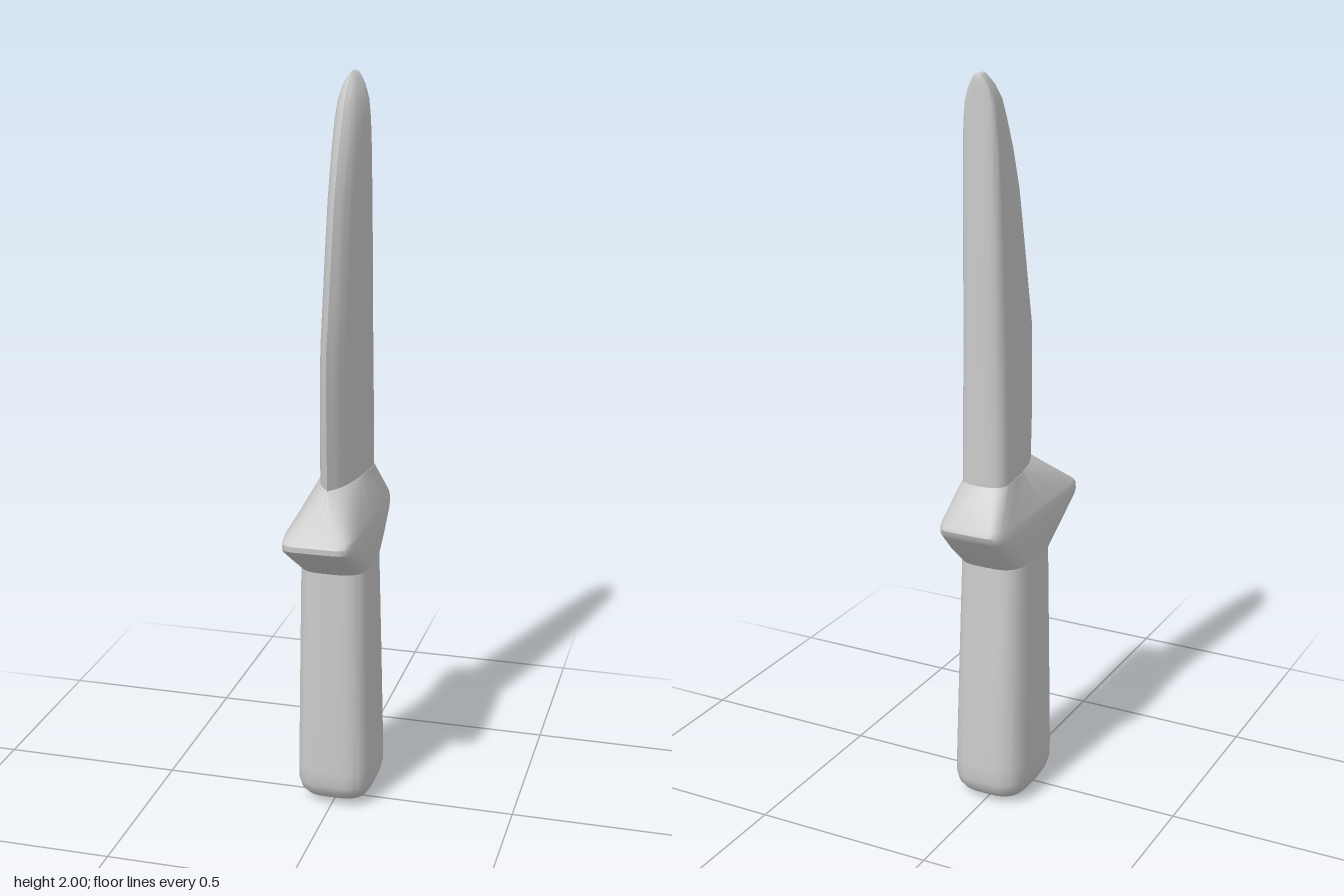
import * as THREE from 'three';
import { toCreasedNormals } from 'three/addons/utils/BufferGeometryUtils.js';

const N = 48; // points around each cross-section

// Rounded-rectangle outline: u runs -1 (back) to 1 (front), w is the side, -1 to 1
const rounded = (power) => (t) => {
  const p = (v) => Math.sign(v) * Math.pow(Math.abs(v), 2 / power);
  return [p(-Math.cos(t)), p(Math.sin(t))];
};

// Blade outline: round thick spine tapering to a sharp front edge
const TEARDROP = [[0, 0], [0.01, 0.42], [0.035, 0.72], [0.08, 0.94], [0.14, 1], [0.3, 0.95], [0.55, 0.79], [0.77, 0.58], [0.9, 0.33], [1, 0]];
function teardrop(t) {
  const f = (1 - Math.cos(t)) / 2;
  let i = 1;
  while (i < TEARDROP.length - 1 && TEARDROP[i][0] < f) i++;
  const [a, b] = [TEARDROP[i - 1], TEARDROP[i]];
  const w = THREE.MathUtils.lerp(a[1], b[1], (f - a[0]) / (b[0] - a[0]));
  return [2 * f - 1, Math.max(0, w) * Math.sign(Math.sin(t))];
}

// Skin a stack of sections, each [y, back z, front z, half width, outline]
function loft(name, rows, crease, material) {
  const pos = [], index = [];
  for (const [y, back, front, half, outline] of rows) {
    for (let i = 0; i < N; i++) {
      const [u, w] = outline((i / N) * Math.PI * 2);
      pos.push(w * half, y, (back + front) / 2 + (u * (front - back)) / 2);
    }
  }
  for (let r = 0; r < rows.length - 1; r++) {
    for (let i = 0; i < N; i++) {
      const a = r * N + i, b = r * N + ((i + 1) % N);
      index.push(a, a + N, b, b, a + N, b + N);
    }
  }
  // End caps
  const top = (rows.length - 1) * N;
  const addCentre = ([y, back, front]) => pos.push(0, y, (back + front) / 2) / 3 - 1;
  const c0 = addCentre(rows[0]), c1 = addCentre(rows[rows.length - 1]);
  for (let i = 0; i < N; i++) {
    const j = (i + 1) % N;
    index.push(c0, i, j, c1, top + j, top + i);
  }
  const geometry = new THREE.BufferGeometry();
  geometry.setAttribute('position', new THREE.Float32BufferAttribute(pos, 3));
  geometry.setIndex(index);
  const mesh = new THREE.Mesh(toCreasedNormals(geometry, crease), material);
  mesh.name = name;
  return mesh;
}

export function createModel() {
  const group = new THREE.Group();
  group.name = 'knife';
  const material = new THREE.MeshStandardMaterial({ color: 0xcccccc });
  const grip = rounded(3.4), block = rounded(7);

  // Handle with a rounded butt
  const handle = [
    [0, -0.09, 0.0, 0.05], [0.007, -0.125, 0.04, 0.073], [0.02, -0.155, 0.07, 0.09],
    [0.04, -0.172, 0.09, 0.101], [0.065, -0.179, 0.1, 0.107], [0.11, -0.179, 0.101, 0.107],
    [0.4, -0.165, 0.098, 0.102], [0.71, -0.15, 0.095, 0.096],
  ].map((r) => [...r, grip]);

  // Guard flaring to a front and a back point
  const guard = [
    [0.7, -0.15, 0.095, 0.096, grip], [0.75, -0.197, 0.165, 0.099, rounded(5)],
    [0.805, -0.24, 0.243, 0.1, block], [0.815, -0.249, 0.252, 0.099, block],
    [0.83, -0.254, 0.253, 0.097, block], [0.842, -0.249, 0.239, 0.095, block],
    [0.94, -0.181, 0.112, 0.066, teardrop],
  ];

  // Blade with a straight spine and a curved edge
  const blade = [
    [0.93, -0.18, 0.11, 0.065], [1.05, -0.18, 0.117, 0.064], [1.18, -0.18, 0.12, 0.062],
    [1.31, -0.18, 0.12, 0.06], [1.42, -0.18, 0.097, 0.058], [1.55, -0.18, 0.07, 0.056],
    [1.69, -0.18, 0.04, 0.053], [1.8, -0.18, 0.002, 0.05], [1.88, -0.18, -0.035, 0.046],
    [1.93, -0.18, -0.06, 0.04], [1.965, -0.18, -0.09, 0.029], [1.985, -0.18, -0.115, 0.018],
    [1.996, -0.179, -0.13, 0.01], [2, -0.178, -0.14, 0.004],
  ].map((r) => [...r, teardrop]);

  group.add(
    loft('handle', handle, 0.8, material),
    loft('guard', guard, 0.6, material),
    loft('blade', blade, 0.7, material),
  );
  return group;
}
